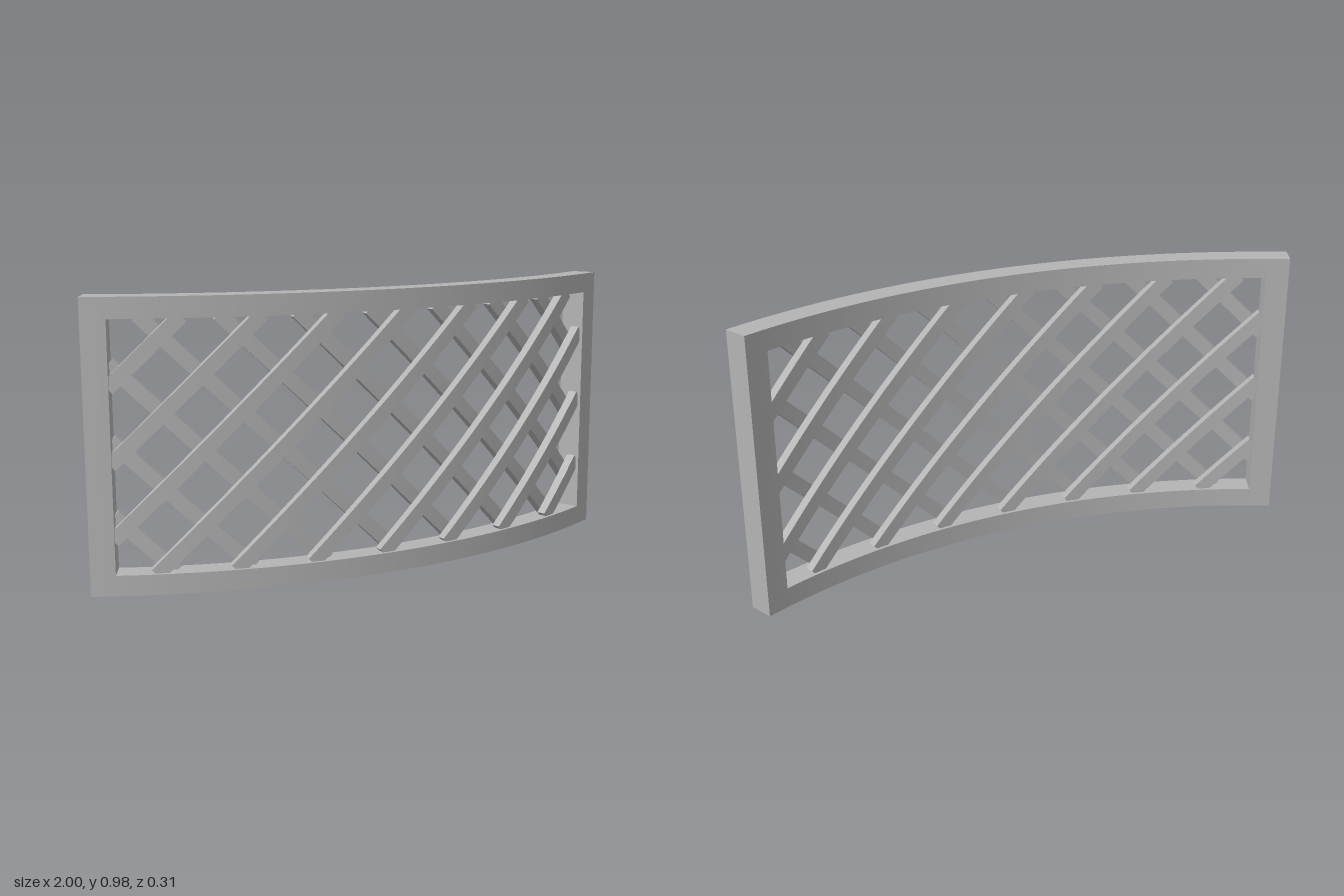
import * as THREE from 'three';

const R = 2.245;             // mid radius of the curved panel
const CENTRE_Z = -2.134;     // z of the axis of curvature
const HEIGHT = 0.975, RAIL = 0.07, DEPTH = 0.087;
const HALF = 1.015;          // half arc length of the whole panel
const INNER = 0.934;         // half arc length of the opening

// Wraps a flat geometry (x = arc length, z = offset from mid surface) round the axis
function bend(geo) {
  const p = geo.attributes.position;
  for (let i = 0; i < p.count; i++) {
    const a = p.getX(i) / R, r = R + p.getZ(i);
    p.setXYZ(i, r * Math.sin(a), p.getY(i), r * Math.cos(a) + CENTRE_Z);
  }
  geo.computeVertexNormals();
  return geo;
}

export function createModel() {
  const model = new THREE.Group();
  model.name = 'curvedTrellis';
  const grey = new THREE.MeshStandardMaterial({ color: 0xb4b4b4 });
  grey.name = 'grey';

  const add = (parent, name, geo) => {
    const mesh = new THREE.Mesh(bend(geo), grey);
    mesh.name = name;
    parent.add(mesh);
  };

  // Frame: two curved rails and two end stiles
  const frame = new THREE.Group();
  frame.name = 'frame';
  model.add(frame);
  for (const [name, y] of [['bottomRail', RAIL / 2], ['topRail', HEIGHT - RAIL / 2]]) {
    add(frame, name, new THREE.BoxGeometry(2 * HALF, RAIL, DEPTH, 64, 1, 1).translate(0, y, 0));
  }
  for (const [name, s] of [['leftStile', 1], ['rightStile', -1]]) {
    const geo = new THREE.BoxGeometry(HALF - INNER, HEIGHT - 2 * RAIL, DEPTH, 4, 1, 1);
    add(frame, name, geo.translate(s * (HALF + INNER) / 2, HEIGHT / 2, 0));
  }

  // Lattice: rising slats in the front layer, mirrored ones behind
  const slope = 0.97, spacing = 0.25, width = 0.048, thick = 0.032;
  const tilt = Math.atan(slope), overlap = 0.008;
  for (const [name, s] of [['frontSlats', 1], ['backSlats', -1]]) {
    const layer = new THREE.Group();
    layer.name = name;
    model.add(layer);
    for (let k = -3; k <= 6; k++) {
      // Clip the slat's centre line y = slope * u + c to the opening
      const c = 0.095 + spacing * k;
      const u0 = Math.max(-INNER, (RAIL - c) / slope);
      const u1 = Math.min(INNER, (HEIGHT - RAIL - c) / slope);
      if (u1 - u0 < 0.06) continue;
      const mid = (u0 + u1) / 2;
      const length = (u1 - u0) / Math.cos(tilt) + 2 * overlap;
      const geo = new THREE.BoxGeometry(length, width, thick, 24, 1, 1);
      geo.rotateZ(s * tilt).translate(s * mid, slope * mid + c, s * thick / 2);
      add(layer, 'slat', geo);
    }
  }
  return model;
}
